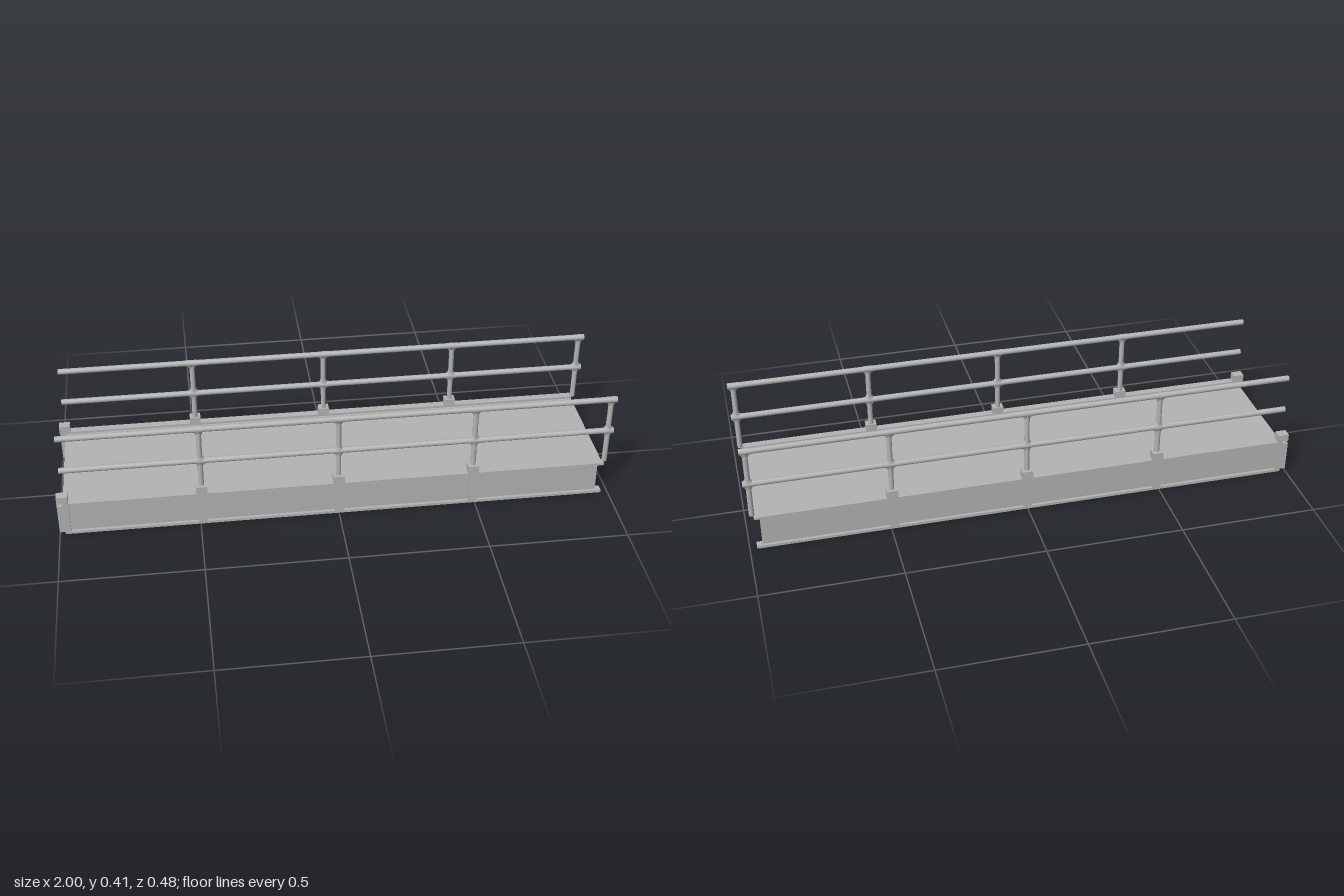
import * as THREE from 'three';

const steel = new THREE.MeshStandardMaterial({ color: 0xb3b3b3 });
steel.name = 'grey steel';

const RAIL_Z = 0.22;
const RAIL_HEIGHTS = [0.263, 0.395];
const POSTS = [-0.49, 0, 0.49, 0.98];
const BRACKETS = [-0.98, -0.49, 0, 0.49];

function add(parent, name, geometry, x = 0, y = 0, z = 0) {
  const mesh = new THREE.Mesh(geometry, steel);
  mesh.name = name;
  mesh.position.set(x, y, z);
  parent.add(mesh);
  return mesh;
}

// Box given by its limits; open boxes lack both x ends, like a continuing section
function box(parent, name, [x0, x1], [y0, y1], [z0, z1], open = false) {
  const g = new THREE.BoxGeometry(x1 - x0, y1 - y0, z1 - z0);
  if (open) {
    g.setIndex(Array.from(g.index.array).slice(12));
    g.clearGroups();
  }
  return add(parent, name, g, (x0 + x1) / 2, (y0 + y1) / 2, (z0 + z1) / 2);
}

// Open-ended tubes
function tubeX(parent, name, x0, x1, y, z, r) {
  const g = new THREE.CylinderGeometry(r, r, x1 - x0, 20, 1, true).rotateZ(Math.PI / 2);
  return add(parent, name, g, (x0 + x1) / 2, y, z);
}

function tubeY(parent, name, x, y0, y1, z, r0, r1 = r0) {
  const g = new THREE.CylinderGeometry(r1, r0, y1 - y0, 20, 1, true);
  return add(parent, name, g, x, (y0 + y1) / 2, z);
}

// I-section side beam with stiffeners and post sockets
function makeBeam(s) {
  const beam = new THREE.Group();
  beam.name = 'sideBeam';
  const zs = (a, b) => (s > 0 ? [a, b] : [-b, -a]);
  box(beam, 'bottomFlange', [-0.98, 0.975], [0, 0.01], zs(0.212, 0.24), true);
  box(beam, 'topFlange', [-0.98, 0.975], [0.123, 0.132], zs(0.212, 0.24), true);
  box(beam, 'web', [-0.975, 0.955], [0.01, 0.123], zs(0.223, 0.229), true);
  for (const x of BRACKETS) {
    const half = x < -0.9 ? 0.02 : 0.016;
    box(beam, 'stiffener', [x - half, x + half], [0.01, 0.123], zs(0.227, 0.24));
    box(beam, 'postSocket', [x - 0.02, x + 0.02], [0.132, 0.16], zs(0.207, 0.24));
  }
  return beam;
}

// Two tube rails on posts, joined by tee and cross fittings
function makeRailing(s) {
  const railing = new THREE.Group();
  railing.name = 'railing';
  const z = s * RAIL_Z;
  const [mid, top] = RAIL_HEIGHTS;
  for (const y of RAIL_HEIGHTS) tubeX(railing, 'rail', -0.98, 1, y, z, 0.0105);
  for (const x of POSTS) {
    tubeY(railing, 'post', x, 0.132, top - 0.01, z, 0.0095);
    for (const y of RAIL_HEIGHTS) {
      tubeX(railing, 'fittingSleeve', x - 0.02, x + 0.02, y, z, 0.0115);
    }
    // Collars flare towards the rails
    tubeY(railing, 'topCollar', x, top - 0.022, top - 0.007, z, 0.0105, 0.018)
      .scale.z = 0.64;
    tubeY(railing, 'lowerCollar', x, mid - 0.022, mid - 0.006, z, 0.0105, 0.018)
      .scale.z = 0.64;
    tubeY(railing, 'upperCollar', x, mid + 0.006, mid + 0.022, z, 0.018, 0.0105)
      .scale.z = 0.64;
  }
  return railing;
}

export function createModel() {
  const model = new THREE.Group();
  model.name = 'walkway';
  box(model, 'deck', [-0.98, 0.975], [0.119, 0.121], [-0.223, 0.223], true);
  for (const s of [-1, 1]) model.add(makeBeam(s), makeRailing(s));
  return model;
}
